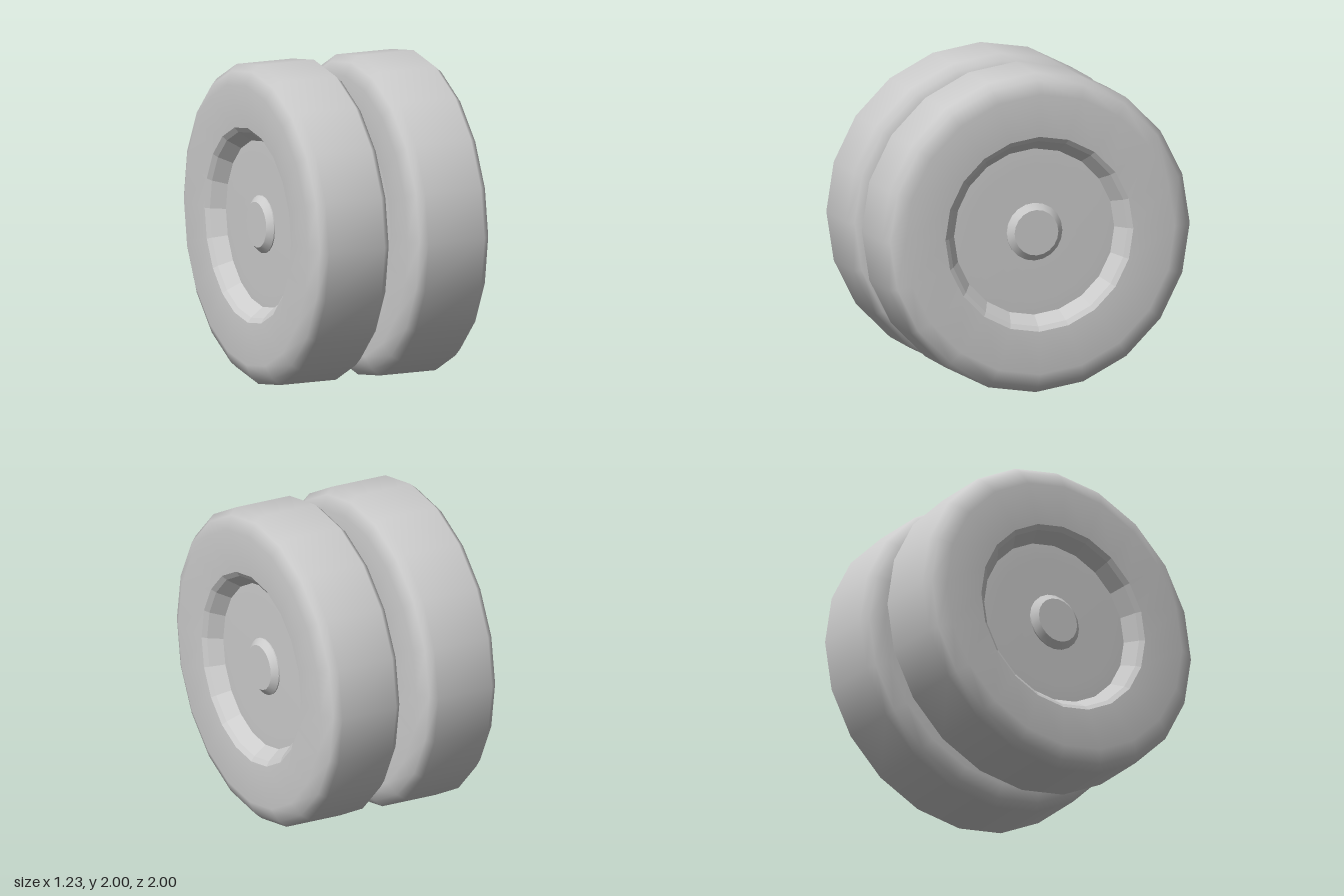
import * as THREE from 'three';
import { toCreasedNormals } from 'three/addons/utils/BufferGeometryUtils.js';

const SIDES = 20;

export function createModel() {
  const model = new THREE.Group();
  model.name = 'twinWheels';
  const grey = new THREE.MeshStandardMaterial({ color: 0xcccccc });
  grey.name = 'lightGrey';

  // Revolve a [radius, offset] profile around the x axis
  const turn = (profile) => new THREE.LatheGeometry(
    profile.map(([r, x]) => new THREE.Vector2(r, x)), SIDES).rotateZ(-Math.PI / 2);
  const part = (name, geometry, parent) => {
    const mesh = new THREE.Mesh(geometry, grey);
    mesh.name = name;
    parent.add(mesh);
  };

  // Tyre: shoulder profile on one side, mirrored to the other
  const shoulder = [[1, 0.19], [0.96, 0.235], [0.875, 0.275], [0.61, 0.262]];
  const mirrored = shoulder.map(([r, x]) => [r, -x]).reverse();
  const tyre = turn([...mirrored, ...shoulder]);

  // Faceted wall of the recess
  const rim = toCreasedNormals(turn([[0.61, 0.262], [0.58, 0.24], [0.52, 0.16]]), 0.15);

  // Flat disc and bevelled hub cap
  const disc = turn([[0.52, 0.16], [0.43, 0.163], [0.18, 0.163]]);
  const hub = toCreasedNormals(turn([[0.18, 0.16], [0.18, 0.17], [0.142, 0.205], [0, 0.205]]), 0.4);

  for (const [name, x] of [['leftWheel', 0.34], ['rightWheel', -0.34]]) {
    const wheel = new THREE.Group();
    wheel.name = name;
    wheel.position.set(x, 1, 0);
    part('tyre', tyre, wheel);
    // The same recessed face on both sides of the wheel
    for (const angle of [0, Math.PI]) {
      const face = new THREE.Group();
      face.name = angle ? 'faceTowardRight' : 'faceTowardLeft';
      face.rotation.y = angle;
      part('rimWall', rim, face);
      part('wheelDisc', disc, face);
      part('hubCap', hub, face);
      wheel.add(face);
    }
    model.add(wheel);
  }
  return model;
}
